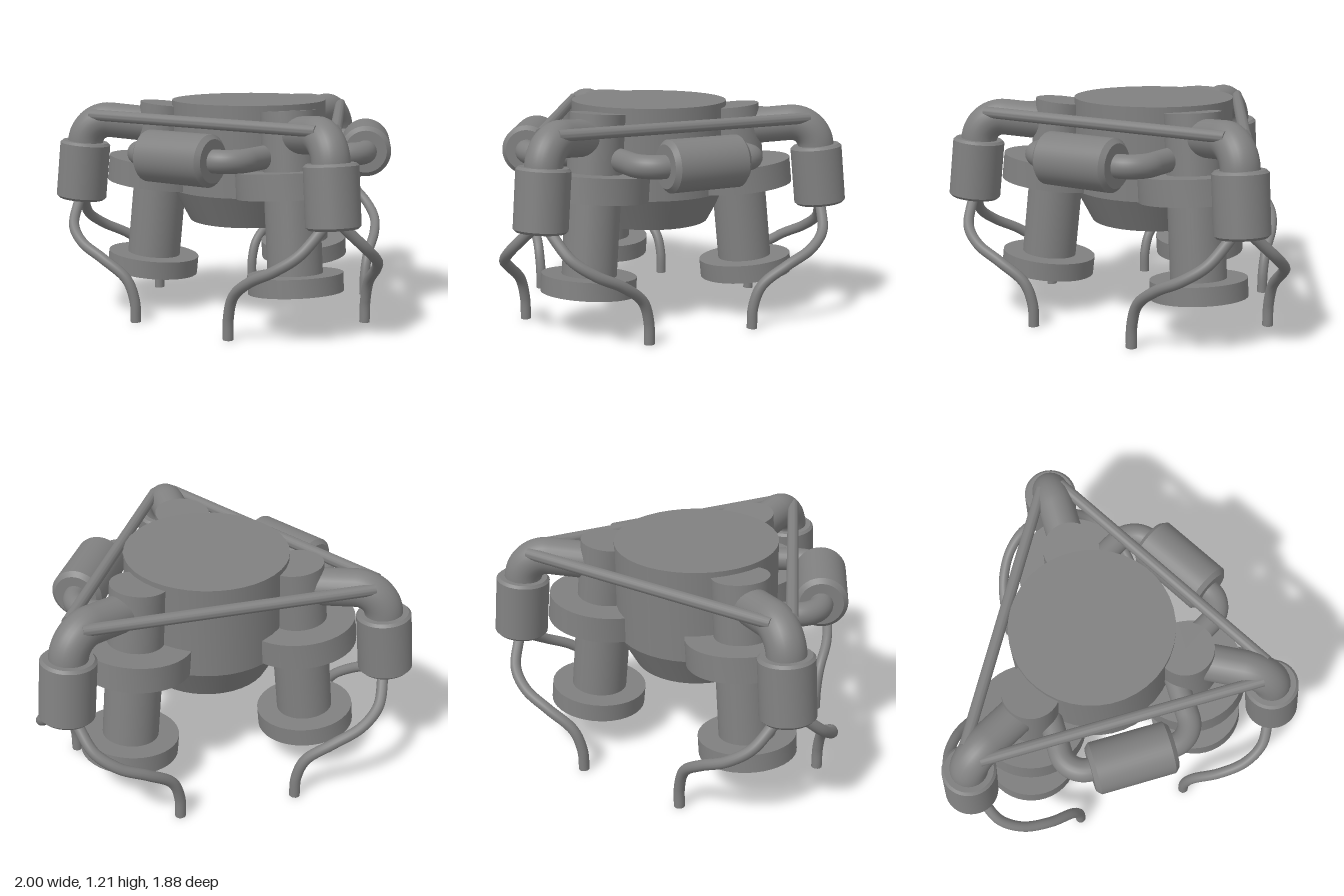
import * as THREE from 'three';
import { toCreasedNormals } from 'three/addons/utils/BufferGeometryUtils.js';

const castMetal = new THREE.MeshStandardMaterial({ color: 0x808080 });
const V = (x, y, z) => new THREE.Vector3(x, y, z);

function part(name, geometry, parent) {
  const mesh = new THREE.Mesh(geometry, castMetal);
  mesh.name = name;
  parent.add(mesh);
  return mesh;
}

// Solid of revolution from [radius, y] pairs, bottom to top, with crisp rims
function turned(profile) {
  const pts = profile.map(([r, y]) => new THREE.Vector2(r, y));
  return toCreasedNormals(new THREE.LatheGeometry(pts, 40), 0.4);
}

// Cylinder between two heights, with optional bevels on both rims
function drum(r, y0, y1, b = 0) {
  return turned(b
    ? [[0, y0], [r - b, y0], [r, y0 + b], [r, y1 - b], [r - b, y1], [0, y1]]
    : [[0, y0], [r, y0], [r, y1], [0, y1]]);
}

// Pipe through corner points, each inner corner rounded by the bend length
function bentPipe(points, radius, bend) {
  const path = new THREE.CurvePath();
  let from = points[0];
  for (let i = 1; i < points.length - 1; i++) {
    const p = points[i];
    const a = p.clone().add(points[i - 1].clone().sub(p).setLength(bend));
    const b = p.clone().add(points[i + 1].clone().sub(p).setLength(bend));
    const k = 0.5523; // circular-arc handle
    path.add(new THREE.LineCurve3(from, a));
    path.add(new THREE.CubicBezierCurve3(a, a.clone().lerp(p, k), b.clone().lerp(p, k), b));
    from = b;
  }
  path.add(new THREE.LineCurve3(from, points[points.length - 1]));
  return new THREE.TubeGeometry(path, 40, radius, 24);
}

// Front leg: flanged column, elbow, pot and two thin feeler tubes
function makeLeg() {
  const leg = new THREE.Group();
  leg.name = 'leg';

  const tilted = new THREE.Group();
  tilted.name = 'tiltedColumn';
  tilted.position.set(0, 0.21, 0.577);
  tilted.rotation.x = -0.1;
  leg.add(tilted);
  part('column', drum(0.15, 0.05, 0.975), tilted);
  part('footDisc', drum(0.26, 0, 0.1), tilted);
  part('upperFlange', drum(0.3, 0.515, 0.655), tilted);
  part('elbow', bentPipe([V(0, 0.845, 0), V(0, 0.845, 0.452), V(0, 0.66, 0.452)], 0.1, 0.14), tilted);
  part('pot', drum(0.143, 0.372, 0.706, 0.014), tilted).position.z = 0.452;

  for (const s of [-1, 1]) {
    const path = new THREE.CatmullRomCurve3([
      V(0.03, 0.66, 0.98), V(0.09, 0.6, 0.99), V(0.2, 0.5, 0.99), V(0.3, 0.42, 0.92),
      V(0.375, 0.345, 0.79), V(0.408, 0.24, 0.655), V(0.415, 0.12, 0.61), V(0.415, 0, 0.605),
    ].map((p) => V(p.x * s, p.y, p.z)));
    part('feeler', new THREE.TubeGeometry(path, 48, 0.029, 14), leg);
    // Closed tube end at the ground
    const tip = part('feelerTip', new THREE.CircleGeometry(0.029, 14), leg);
    tip.rotation.x = Math.PI / 2;
    tip.position.set(0.415 * s, 0.001, 0.605);
  }
  return leg;
}

// Side canister lying between two legs, with a bent pipe at each end
function makeCanister() {
  const group = new THREE.Group();
  group.name = 'sideCanister';
  const y = 0.94, n = 0.656;
  const body = part('canister', drum(0.14, -0.225, 0.225, 0.024), group);
  body.rotation.z = Math.PI / 2;
  body.position.set(0, y, n);
  for (const s of [-1, 1]) {
    part('canisterPipe',
      bentPipe([V(0.2 * s, y, n), V(0.35 * s, y, n - 0.01), V(0.35 * s, y, 0.3)], 0.063, 0.12), group);
  }
  return group;
}

export function createModel() {
  const model = new THREE.Group();
  model.name = 'threeLeggedMachine';
  const hub = new THREE.Group();
  hub.name = 'hub';
  hub.position.z = -0.185;
  model.add(hub);

  // Central vessel with a tapered base
  part('vessel', turned([[0, 0.52], [0.34, 0.52], [0.437, 0.7], [0.437, 1.205], [0, 1.205]]), hub)
    .position.z = -0.021;

  // Three legs, joined at the top by straight tie rods
  for (let i = 0; i < 3; i++) {
    const leg = makeLeg();
    leg.rotation.y = (i * Math.PI * 2) / 3;
    hub.add(leg);

    const side = new THREE.Group();
    side.name = 'tieRodSide';
    side.rotation.y = Math.PI / 3 + (i * Math.PI * 2) / 3;
    hub.add(side);
    const rod = part('tieRod', drum(0.031, -0.755, 0.755), side);
    rod.rotation.z = Math.PI / 2;
    rod.position.set(0, 1.115, 0.5);
  }

  // Canisters on the left and right sides only
  for (const s of [-1, 1]) {
    const canister = makeCanister();
    canister.rotation.y = (s * Math.PI) / 3;
    hub.add(canister);
  }
  return model;
}
